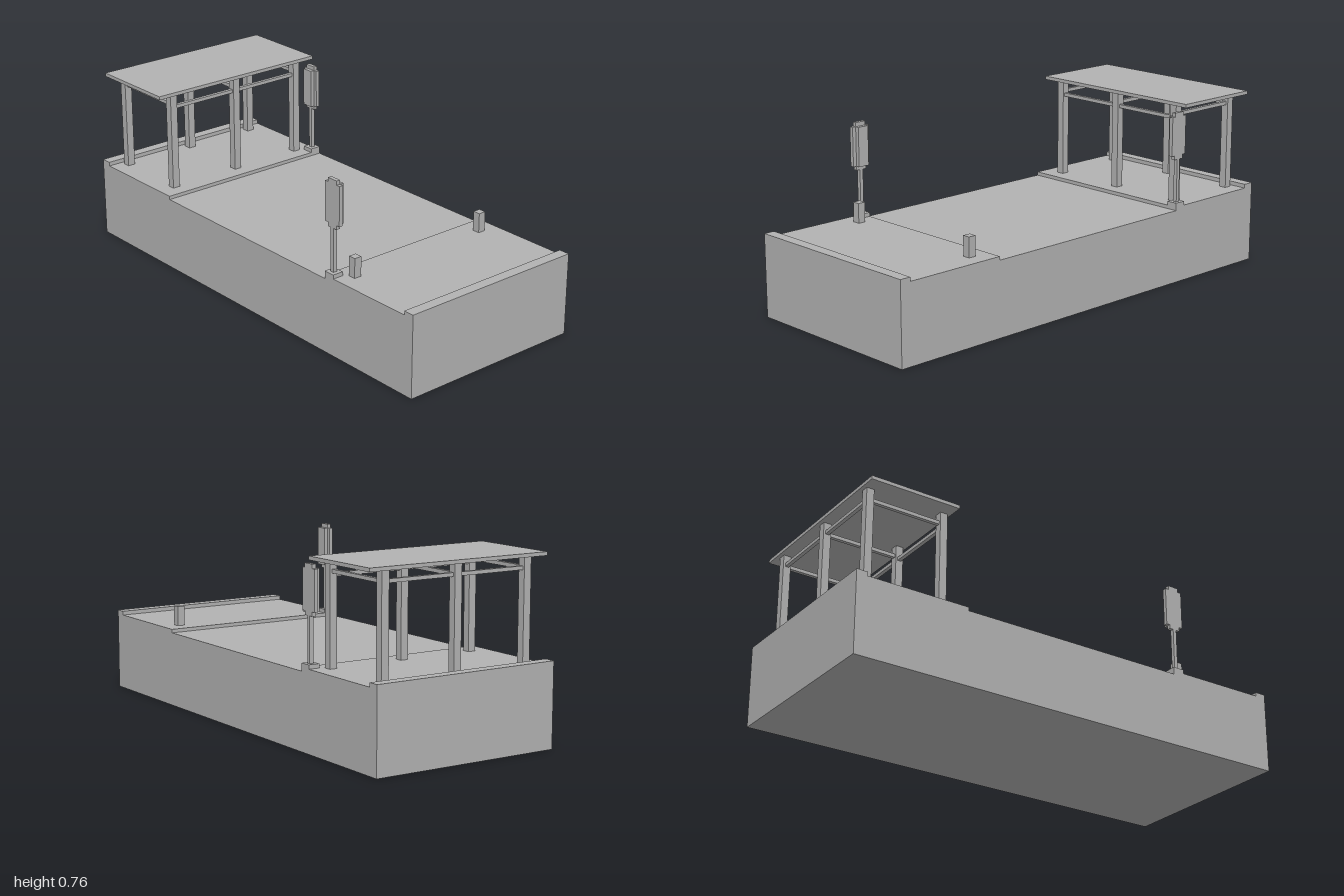
import * as THREE from 'three';

const concrete = new THREE.MeshStandardMaterial({ color: 0xb2b2b2 });
concrete.name = 'plain grey';

// Box given by its limits on each axis
function block(parent, name, [x0, x1], [y0, y1], [z0, z1]) {
  const mesh = new THREE.Mesh(new THREE.BoxGeometry(x1 - x0, y1 - y0, z1 - z0), concrete);
  mesh.position.set((x0 + x1) / 2, (y0 + y1) / 2, (z0 + z1) / 2);
  mesh.name = name;
  parent.add(mesh);
  return mesh;
}

const around = (c, half) => [c - half, c + half];

// Extrude a (z, y) outline along x, from x0 to x1
function sideExtrude(parent, name, points, x0, x1) {
  const shape = new THREE.Shape(points.map(([z, y]) => new THREE.Vector2(-z, y)));
  const geo = new THREE.ExtrudeGeometry(shape, { depth: x1 - x0, bevelEnabled: false });
  geo.rotateY(Math.PI / 2).translate(x0, 0, 0);
  const mesh = new THREE.Mesh(geo, concrete);
  mesh.name = name;
  parent.add(mesh);
}

// Stop sign on the +x side, centred on z = 0
function createSign() {
  const sign = new THREE.Group();
  sign.name = 'stopSign';
  block(sign, 'signFoot', around(0.389, 0.024), [0.33, 0.347], around(0, 0.025));
  block(sign, 'signPole', [0.381, 0.398], [0.347, 0.53], around(0, 0.008));
  // board with stepped corners
  const a = 0.025, b = 0.041;
  sideExtrude(sign, 'signBoard', [
    [-a, 0.53], [a, 0.53], [a, 0.547], [b, 0.547], [b, 0.712], [a, 0.712],
    [a, 0.729], [-a, 0.729], [-a, 0.712], [-b, 0.712], [-b, 0.547], [-a, 0.547],
  ], 0.381, 0.398);
  block(sign, 'signPanel', [0.364, 0.381], [0.547, 0.712], around(0, a));
  return sign;
}

export function createModel() {
  const model = new THREE.Group();
  model.name = 'platformStop';

  // Base with a sunken middle, raised ends and end curbs
  sideExtrude(model, 'base', [
    [-1, 0], [1, 0], [1, 0.347], [0.953, 0.347], [0.953, 0.33], [0.505, 0.33],
    [0.505, 0.315], [-0.505, 0.315], [-0.505, 0.33], [-0.953, 0.33], [-0.953, 0.347], [-1, 0.347],
  ], -0.413, 0.413);

  // Shelter: roof, posts and beams
  const shelter = new THREE.Group();
  shelter.name = 'shelter';
  model.add(shelter);
  const half = 0.0165, zFront = -0.583, zBack = -0.917;
  block(shelter, 'roof', [-0.413, 0.413], [0.746, 0.761], [-0.95, -0.553]);
  for (const x of [-0.331, 0, 0.331]) {
    for (const z of [zFront, zBack]) {
      block(shelter, 'post', around(x, half), [0.33, 0.746], around(z, half));
    }
    block(shelter, 'crossBeam', around(x, 0.008), [0.696, 0.711], [zBack + half, zFront - half]);
  }
  for (const s of [-1, 1]) {
    const span = around(s * 0.1655, 0.149);
    block(shelter, 'frontBeam', span, [0.681, 0.696], around(zFront, 0.008));
    block(shelter, 'backBeam', span, [0.696, 0.711], around(zBack, 0.008));
    // Bollards on the front end
    block(model, 'bollard', around(s * 0.331, half), [0.33, 0.413], around(0.587, half));
  }

  // One sign at each end, turned half round from each other
  const backSign = createSign();
  backSign.position.z = -0.53;
  const frontSign = createSign();
  frontSign.rotation.y = Math.PI;
  frontSign.position.z = 0.53;
  model.add(backSign, frontSign);

  return model;
}
